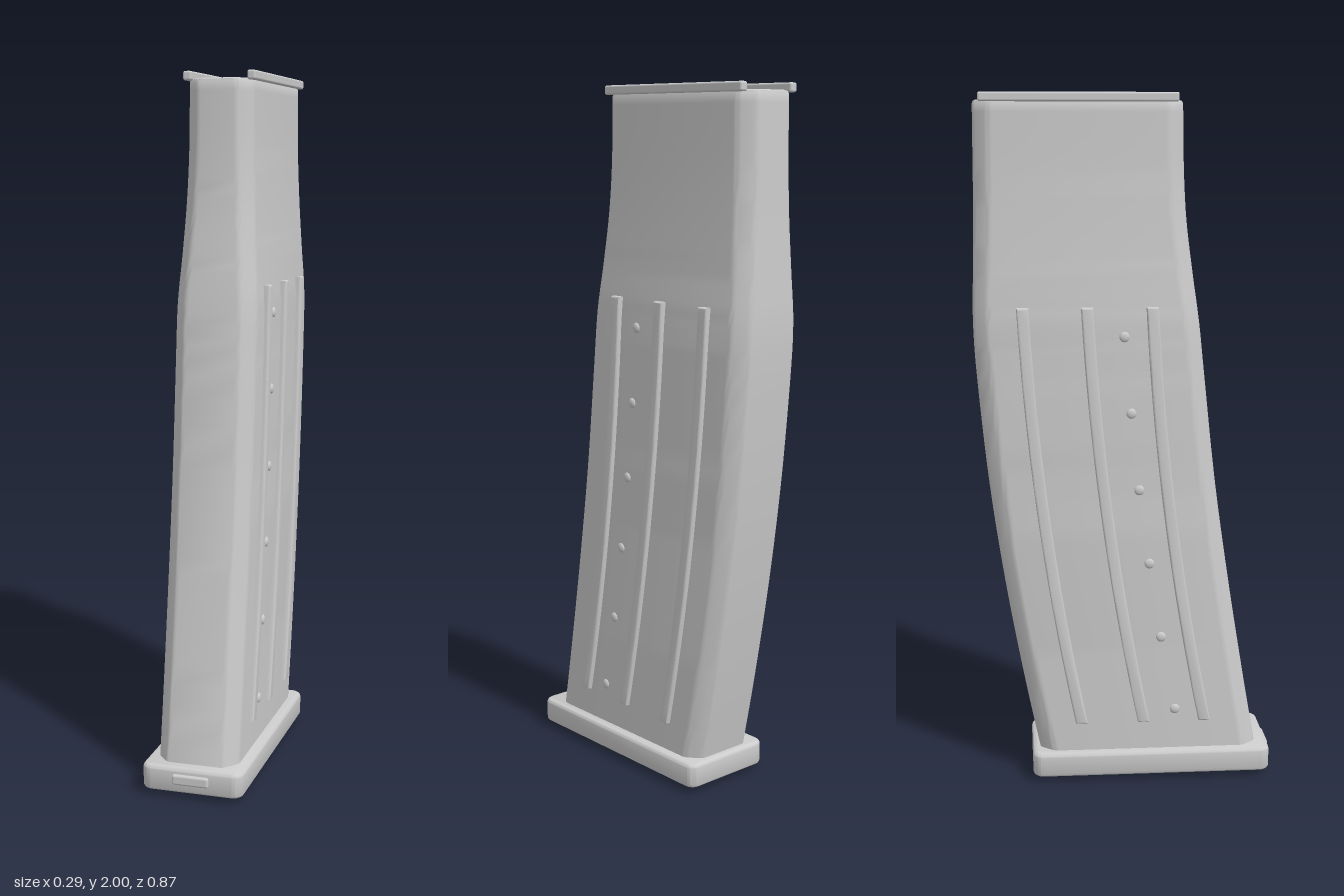
import * as THREE from 'three';
import { toCreasedNormals } from 'three/addons/utils/BufferGeometryUtils.js';
import { RoundedBoxGeometry } from 'three/addons/geometries/RoundedBoxGeometry.js';

const material = new THREE.MeshStandardMaterial({ color: 0xcccccc });

// Body stations from bottom to top: [y, front z, back z, half width]
const stations = [
  [0.05, 0.394, -0.252, 0.118], [0.3, 0.35, -0.303, 0.118], [0.6, 0.301, -0.356, 0.118],
  [0.9, 0.258, -0.398, 0.118], [1.2, 0.225, -0.427, 0.118], [1.36, 0.208, -0.436, 0.117],
  [1.5, 0.189, -0.434, 0.108], [1.65, 0.171, -0.43, 0.1], [1.8, 0.163, -0.429, 0.095],
  [1.97, 0.16, -0.428, 0.094],
];
const spline = (k) => new THREE.SplineCurve(stations.map((s) => new THREE.Vector2(s[k], s[0])));

// Rectangle section with chamfered corners whose edges are softly rounded
function section(y, front, back, w) {
  const cx = 0.036, cz = 0.042, corners = [];
  corners.push([w, front - cz], [w - cx, front], [-w + cx, front], [-w, front - cz]);
  corners.push([-w, back + cz], [-w + cx, back], [w - cx, back], [w, back + cz]);
  const pts = [];
  corners.forEach(([x, z], i) => {
    const c = new THREE.Vector2(x, z);
    const toward = (o) => {
      const p = new THREE.Vector2(...corners[(i + o + 8) % 8]);
      return p.sub(c).setLength(0.012).add(c);
    };
    const bend = new THREE.QuadraticBezierCurve(toward(-1), c, toward(1));
    bend.getPoints(3).forEach((p) => pts.push([p.x, y, p.y]));
  });
  return pts;
}

function bodyGeometry() {
  const curves = [1, 2, 3].map(spline), rings = [], steps = 45;
  for (let i = 0; i <= steps; i++) {
    const [f, b, w] = curves.map((c) => c.getPoint(i / steps));
    rings.push(section(f.y, f.x, b.x, w.x));
  }
  // rounded rim and flat top
  for (const [inset, y] of [[0.003, 1.977], [0.01, 1.98]]) {
    rings.push(section(y, 0.16 - inset, -0.428 + inset, 0.094 - inset));
  }
  const n = rings[0].length, pos = rings.flat(2), idx = [];
  for (let r = 0; r < rings.length - 1; r++) {
    for (let i = 0; i < n; i++) {
      const a = r * n + i, b = r * n + (i + 1) % n;
      idx.push(a, a + n, b, b, a + n, b + n);
    }
  }
  const last = (rings.length - 1) * n, center = pos.length / 3;
  pos.push(0, 1.98, -0.134, 0, 0.05, 0.07);
  for (let i = 0; i < n; i++) {
    const j = (i + 1) % n;
    idx.push(center, last + j, last + i, center + 1, i, j);
  }
  const g = new THREE.BufferGeometry();
  g.setAttribute('position', new THREE.Float32BufferAttribute(pos, 3));
  g.setIndex(idx);
  return toCreasedNormals(g, 0.6);
}

// Curved raised rib, drawn in the side plane then turned to face sideways
function ribGeometry(zTop, zBottom) {
  const h = 0.0125, y0 = 0.18, y1 = 1.404;
  const mid = new THREE.QuadraticBezierCurve(
    new THREE.Vector2(zBottom, y0),
    new THREE.Vector2((zTop + zBottom) / 2 - 0.048, (y0 + y1) / 2),
    new THREE.Vector2(zTop, y1)).getPoints(24);
  const outline = [
    ...mid.map((p) => new THREE.Vector2(p.x + h, p.y)),
    ...mid.slice().reverse().map((p) => new THREE.Vector2(p.x - h, p.y)),
  ];
  const g = new THREE.ExtrudeGeometry(new THREE.Shape(outline), {
    depth: 0.03, bevelThickness: 0.005, bevelSize: 0.005, bevelSegments: 3,
  });
  g.translate(0, 0, -0.015).rotateY(-Math.PI / 2);
  return toCreasedNormals(g, 0.6);
}

function baseGeometry() {
  const x = 0.135, z0 = -0.413, z1 = 0.27, r = 0.02, s = new THREE.Shape();
  s.absarc(x - r, z1 - r, r, 0, Math.PI / 2);
  s.absarc(-x + r, z1 - r, r, Math.PI / 2, Math.PI);
  s.absarc(-x + r, z0 + r, r, Math.PI, Math.PI * 1.5);
  s.absarc(x - r, z0 + r, r, Math.PI * 1.5, Math.PI * 2);
  const g = new THREE.ExtrudeGeometry(s, {
    depth: 0.049, bevelThickness: 0.012, bevelSize: 0.012, bevelSegments: 4, curveSegments: 8,
  });
  g.rotateX(-Math.PI / 2).translate(0, 0.027, 0);
  return toCreasedNormals(g, 0.6);
}

export function createModel() {
  const group = new THREE.Group();
  const add = (name, geometry, x = 0, y = 0, z = 0) => {
    const mesh = new THREE.Mesh(geometry, material);
    mesh.name = name;
    mesh.position.set(x, y, z);
    group.add(mesh);
    return mesh;
  };
  const box = (w, h, d, r) => new RoundedBoxGeometry(w, h, d, 3, r);

  add('body', bodyGeometry());
  add('basePlate', baseGeometry());
  add('frontTab', box(0.106, 0.03, 0.04, 0.007), 0, 0.056, 0.414);

  // Grip strips under the base
  for (const z of [0.227, 0.07, -0.09]) {
    add('baseStrip', box(0.2, 0.03, 0.05, 0.005), 0, 0.015, z);
  }

  const ribs = [[0.07, 0.227], [-0.115, 0.046], [-0.297, -0.138]].map((r) => ribGeometry(...r));
  const studs = [[1.325, -0.01], [1.105, 0.01], [0.88, 0.033], [0.66, 0.063], [0.435, 0.098], [0.21, 0.14]];
  const studGeometry = new THREE.SphereGeometry(0.015, 16, 10).scale(0.5, 1, 1);

  for (const side of [1, -1]) {
    const label = side > 0 ? 'left' : 'right';
    add(label + 'FeedLip', box(0.024, 0.026, 0.556, 0.006), side * 0.092, 1.987, -0.134);
    for (const g of ribs) add(label + 'Rib', g, side * 0.112);
    for (const [y, z] of studs) add(label + 'Stud', studGeometry, side * 0.117, y, z);
  }
  return group;
}
